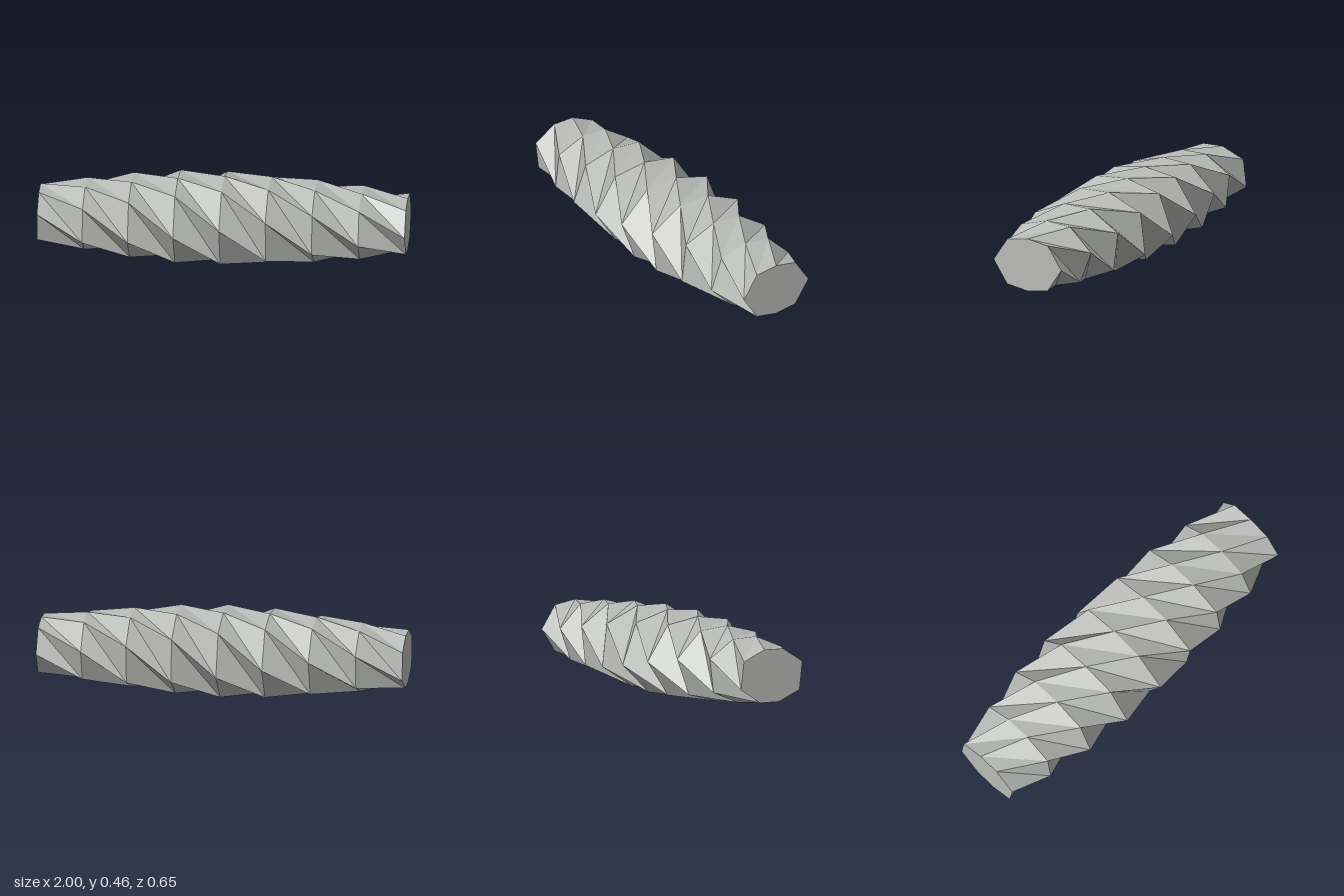
import * as THREE from 'three';

const SIDES = 8, RINGS = 8, CENTRE_Y = 0.23;

// Point j of ring i: the bulging, flattened section turns a little from ring to ring
function ringPoint(i, j) {
  const t = i / RINGS;
  const angle = (j / SIDES) * Math.PI * 2 + i * Math.PI * 0.2;
  const r = (0.18 + 0.1 * Math.sin(Math.PI * t)) * (1 + 0.182 * Math.cos(2 * angle));
  return [1 - 2 * t, CENTRE_Y + r * Math.sin(angle), r * Math.cos(angle)];
}

function facets(triangles) {
  const geometry = new THREE.BufferGeometry();
  geometry.setAttribute('position', new THREE.Float32BufferAttribute(triangles.flat(2), 3));
  geometry.computeVertexNormals();
  return geometry;
}

// Twisted side wall, two triangles per panel
function wallGeometry() {
  const tris = [];
  for (let i = 0; i < RINGS; i++) {
    for (let j = 0; j < SIDES; j++) {
      const a = ringPoint(i + 1, j), b = ringPoint(i + 1, j - 1);
      const c = ringPoint(i, j), d = ringPoint(i, j - 1);
      tris.push([a, d, c], [a, b, d]);
    }
  }
  return facets(tris);
}

// Flat end face
function capGeometry(i) {
  const tris = [], centre = [1 - (2 * i) / RINGS, CENTRE_Y, 0];
  for (let j = 0; j < SIDES; j++) {
    const p = ringPoint(i, j), q = ringPoint(i, j + 1);
    tris.push(i === 0 ? [centre, q, p] : [centre, p, q]);
  }
  return facets(tris);
}

export function createModel() {
  const model = new THREE.Group();
  model.name = 'twistedShaft';
  const grey = new THREE.MeshStandardMaterial({ color: 0xb9bbb8 });
  grey.name = 'stoneGrey';
  grey.flatShading = true;

  const add = (name, geometry) => {
    const mesh = new THREE.Mesh(geometry, grey);
    mesh.name = name;
    model.add(mesh);
  };
  add('twistedWall', wallGeometry());
  add('leftEnd', capGeometry(0));
  add('rightEnd', capGeometry(RINGS));
  return model;
}
